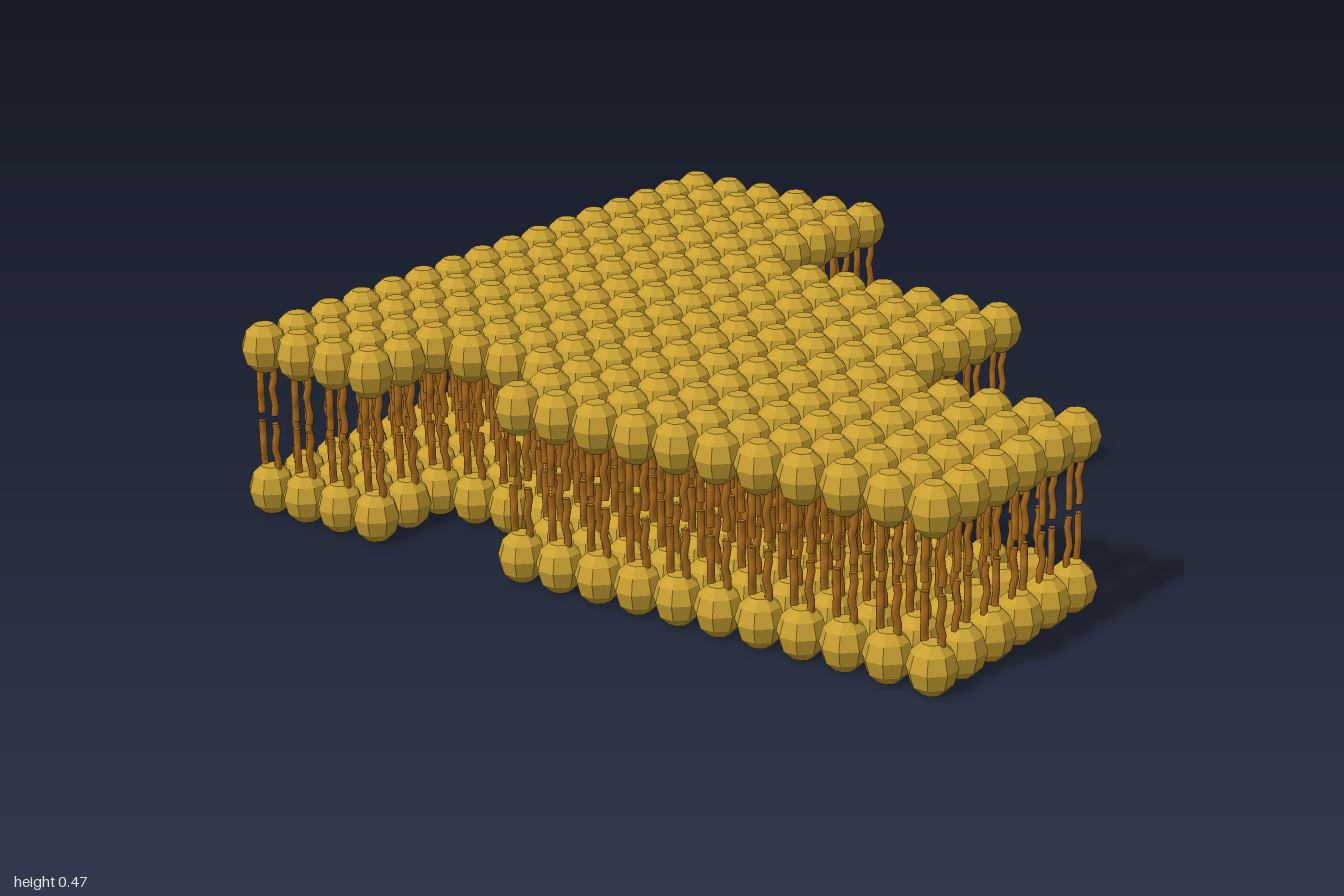
import * as THREE from 'three';
import { mergeGeometries } from 'three/addons/utils/BufferGeometryUtils.js';

const STEP_X = 0.1133, STEP_Z = 0.1112;
const HEAD_Y = 0.0577, TOTAL_HEIGHT = 0.47;

// First and last occupied column of each row, from back to front
function columnRange(row) {
  if (row < 4) return [0, 15];
  if (row < 6) return [2, 15];
  if (row < 7) return [2, 10];
  if (row < 13) return [0, 10];
  return [0, 5];
}

// Some edge rows have their tail pair turned a quarter turn
function isTurned(row, col) {
  return (row === 0 && col > 0 && col < 15) ||
    (row === 12 && col > 5) ||
    (row === 17 && col > 0);
}

// Faceted eight-sided bead, flats facing the axes
function headGeometry() {
  const profile = [[0, -0.0577], [0.024, -0.0577], [0.047, -0.036], [0.0577, 0],
    [0.047, 0.036], [0.024, 0.0577], [0, 0.0577]].map(([r, y]) => new THREE.Vector2(r, y));
  const g = new THREE.LatheGeometry(profile, 8, Math.PI / 8).toNonIndexed();
  g.computeVertexNormals();
  return g.translate(0, HEAD_Y, 0);
}

// Pair of slightly wavy tails rising from a head
function tailGeometry() {
  const tails = [-1, 1].map((s) => {
    const path = new THREE.CatmullRomCurve3([
      new THREE.Vector3(0, 0.09, s * 0.017),
      new THREE.Vector3(0.003, 0.125, s * 0.023),
      new THREE.Vector3(-0.003, 0.165, s * 0.018),
      new THREE.Vector3(0.002, 0.195, s * 0.023),
      new THREE.Vector3(0, 0.225, s * 0.021),
    ]);
    const tube = new THREE.TubeGeometry(path, 6, 0.009, 6, false);
    // Closed tip
    const tip = new THREE.CircleGeometry(0.009, 6).rotateX(-Math.PI / 2).translate(0, 0.225, s * 0.021);
    return mergeGeometries([tube, tip]);
  });
  return mergeGeometries(tails);
}

export function createModel() {
  const gold = new THREE.MeshStandardMaterial({ color: 0xc9a030 });
  gold.name = 'gold';
  const brown = new THREE.MeshStandardMaterial({ color: 0xa8691a });
  brown.name = 'orange brown';

  const head = headGeometry(), tail = tailGeometry();
  const group = new THREE.Group();
  group.name = 'doubleLayerSheet';

  for (const layer of ['lower', 'upper']) {
    const heads = [], tails = [];
    for (let row = 0; row < 18; row++) {
      const [first, last] = columnRange(row);
      for (let col = first; col <= last; col++) {
        const x = (col - 7.5) * STEP_X, z = (row - 8.5) * STEP_Z;
        const h = head.clone(), t = tail.clone();
        if (isTurned(row, col)) t.rotateY(Math.PI / 2);
        // The upper layer hangs upside down
        if (layer === 'upper') {
          for (const g of [h, t]) g.rotateX(Math.PI).translate(0, TOTAL_HEIGHT, 0);
        }
        heads.push(h.translate(x, 0, z));
        tails.push(t.translate(x, 0, z));
      }
    }
    const headMesh = new THREE.Mesh(mergeGeometries(heads), gold);
    headMesh.name = layer + 'Heads';
    const tailMesh = new THREE.Mesh(mergeGeometries(tails), brown);
    tailMesh.name = layer + 'Tails';
    group.add(headMesh, tailMesh);
  }
  return group;
}
